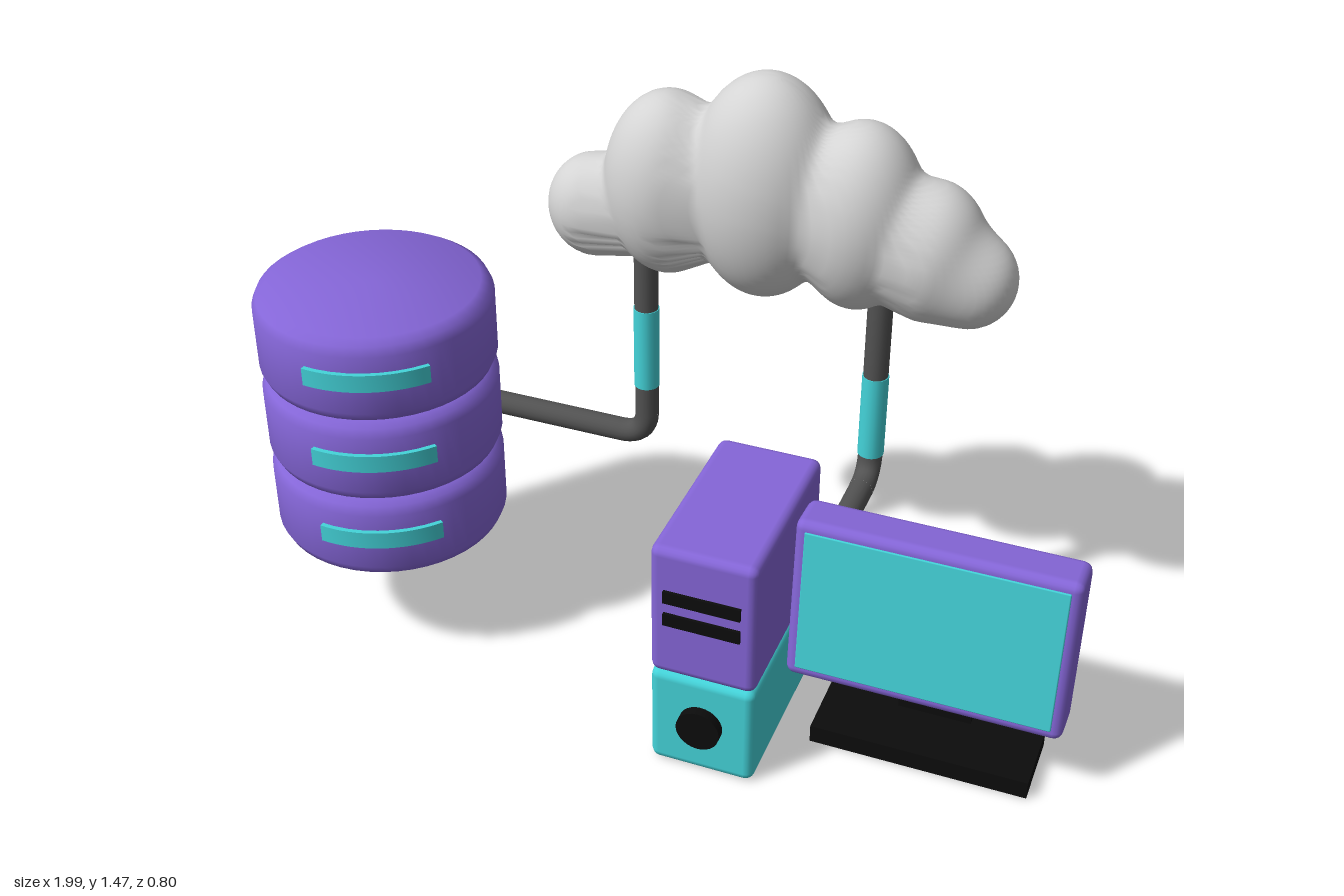
import * as THREE from 'three';
import { mergeVertices, toCreasedNormals } from 'three/addons/utils/BufferGeometryUtils.js';
import { RoundedBoxGeometry } from 'three/addons/geometries/RoundedBoxGeometry.js';

function material(name, color, side = THREE.FrontSide) {
  const m = new THREE.MeshStandardMaterial({ color, side });
  m.name = name;
  return m;
}

// Smooth union of vertical ellipsoid puffs: [x, y, rx, ry, rz]
const PUFFS = [
  [-0.28, 1.075, 0.115, 0.125, 0.105],
  [-0.1, 1.165, 0.15, 0.222, 0.145],
  [0.13, 1.198, 0.175, 0.268, 0.163],
  [0.35, 1.165, 0.145, 0.222, 0.15],
  [0.51, 1.11, 0.13, 0.165, 0.13],
  [0.6, 1.06, 0.112, 0.115, 0.1],
];

function cloudDistance(p) {
  let d = 10;
  for (const [x, y, rx, ry, rz] of PUFFS) {
    const a = p.x - x, b = p.y - y, c = p.z;
    const k0 = Math.hypot(a / rx, b / ry, c / rz);
    const k1 = Math.hypot(a / (rx * rx), b / (ry * ry), c / (rz * rz)) + 1e-6;
    const e = k0 * (k0 - 1) / k1;
    const h = Math.max(0.035 - Math.abs(d - e), 0) / 0.035;
    d = Math.min(d, e) - h * h * 0.035 / 4;
  }
  return d;
}

// Shrink a large ellipsoid onto the puffs
function cloudGeometry() {
  let g = new THREE.SphereGeometry(1, 112, 64);
  g.deleteAttribute('uv');
  g.deleteAttribute('normal');
  g = mergeVertices(g, 1e-5);
  const pos = g.attributes.position;
  const centre = new THREE.Vector3(0.155, 1.12, 0);
  const dir = new THREE.Vector3(), p = new THREE.Vector3();
  for (let i = 0; i < pos.count; i++) {
    dir.fromBufferAttribute(pos, i).multiply(new THREE.Vector3(0.56, 0.3, 0.17)).normalize();
    let t = 0.8;
    for (let s = 0; s < 120; s++) {
      const d = cloudDistance(p.copy(centre).addScaledVector(dir, t));
      if (d < 0.0004) break;
      t -= d * 0.6;
    }
    pos.setXYZ(i, p.x, p.y, p.z);
  }
  g.computeVertexNormals();
  return g;
}

export function createModel() {
  const root = new THREE.Group();
  const purple = material('purple', 0x8566d8);
  const cyan = material('cyan', 0x44d4da, THREE.DoubleSide);
  const white = material('cloudGrey', 0xd4d4d4);
  const grey = material('pipeGrey', 0x525252);
  const black = material('black', 0x0c0c0c);

  function add(name, geometry, mat, x = 0, y = 0, z = 0, parent = root) {
    const mesh = new THREE.Mesh(geometry, mat);
    mesh.name = name;
    mesh.position.set(x, y, z);
    parent.add(mesh);
    return mesh;
  }
  const box = (w, h, d) => new THREE.BoxGeometry(w, h, d);
  const v2 = (x, y) => new THREE.Vector2(x, y);
  const v3 = (x, y, z) => new THREE.Vector3(x, y, z);

  // Cloud
  add('cloud', cloudGeometry(), white, 0, 0, -0.235);

  // Storage drum: three bevelled tiers, each with a curved light strip
  const drum = new THREE.Group();
  drum.name = 'storageDrum';
  drum.position.set(-0.72, 0.28, 0.063);
  root.add(drum);
  const H = 0.218;
  const tier = toCreasedNormals(new THREE.LatheGeometry([
    v2(0, 0), v2(0.25, 0), v2(0.27, 0.013), v2(0.28, 0.035),
    v2(0.28, H - 0.035), v2(0.27, H - 0.013), v2(0.25, H), v2(0, H),
  ], 48), 0.6);
  const strip = toCreasedNormals(new THREE.LatheGeometry([
    v2(0.27, -0.022), v2(0.291, -0.022), v2(0.291, 0.022), v2(0.27, 0.022), v2(0.27, -0.022),
  ], 16, -0.1, 1.03), 0.6);
  for (let i = 0; i < 3; i++) {
    add('drumTier', tier, purple, 0, i * H, 0, drum);
    add('drumLight', strip, cyan, 0, i * H + 0.122, 0, drum);
  }

  // Pipes: straight drop, rounded elbow, straight run, cyan sleeve
  function pipe(name, top, corner, end, sleeveY) {
    const r = 0.07;
    const a = corner.clone().add(v3(0, r, 0));
    const b = corner.clone().add(end.clone().sub(corner).setLength(r));
    const bend = new THREE.QuadraticBezierCurve3(a, corner, b);
    const group = new THREE.Group();
    group.name = name;
    root.add(group);
    [[new THREE.LineCurve3(top, a), 1], [bend, 10], [new THREE.LineCurve3(b, end), 1]].forEach(
      ([curve, n]) => add('pipeSection', new THREE.TubeGeometry(curve, n, 0.029, 18), grey, 0, 0, 0, group));
    add('pipeEnd', new THREE.SphereGeometry(0.029, 18, 12), grey, end.x, end.y, end.z, group);
    add('pipeSleeve', new THREE.CylinderGeometry(0.031, 0.031, 0.215, 18), cyan, top.x, sleeveY, top.z, group);
  }
  pipe('drumPipe', v3(-0.152, 1.05, -0.218), v3(-0.152, 0.468, -0.218), v3(-0.73, 0.468, -0.218), 0.725);
  pipe('monitorPipe', v3(0.415, 1.05, -0.215), v3(0.415, 0.5, -0.215), v3(0.415, 0.5, 0.06), 0.67);

  // Computer tower
  const tower = new THREE.Group();
  tower.name = 'tower';
  tower.position.set(0.215, 0, 0.147);
  root.add(tower);
  add('towerTop', new RoundedBoxGeometry(0.25, 0.35, 0.455, 2, 0.022), purple, 0, 0.44, 0, tower);
  add('towerBase', new RoundedBoxGeometry(0.25, 0.267, 0.455, 2, 0.022), cyan, 0, 0.1335, 0, tower);
  for (const y of [0.428, 0.49]) add('driveSlot', box(0.18, 0.032, 0.014), black, 0, y, 0.228, tower);
  const button = new THREE.CylinderGeometry(0.052, 0.052, 0.03, 28).rotateX(Math.PI / 2);
  add('powerButton', button, black, 0, 0.14, 0.236, tower);

  // Monitor, leaning back slightly
  const monitor = new THREE.Group();
  monitor.name = 'monitor';
  monitor.position.set(0.668, 0.379, 0.102);
  monitor.rotation.x = -0.08;
  root.add(monitor);
  add('monitorCase', new RoundedBoxGeometry(0.645, 0.42, 0.117, 2, 0.022), purple, 0, 0, 0, monitor);
  add('screen', new RoundedBoxGeometry(0.595, 0.368, 0.008, 1, 0.003), cyan, 0, 0.002, 0.0585, monitor);

  // Monitor stand: flat foot and a post with a rounded upper back edge
  add('standFoot', box(0.515, 0.046, 0.185), black, 0.677, 0.023, 0.097);
  const post = new THREE.Shape();
  post.moveTo(0.006, 0.02);
  post.lineTo(0.046, 0.02);
  post.lineTo(0.046, 0.25);
  post.lineTo(0.075, 0.3);
  post.lineTo(0.07, 0.385);
  post.lineTo(0.04, 0.385);
  post.quadraticCurveTo(0.006, 0.375, 0.006, 0.325);
  post.closePath();
  const postGeometry = new THREE.ExtrudeGeometry(post, { depth: 0.175, bevelEnabled: false, curveSegments: 8 });
  postGeometry.rotateY(-Math.PI / 2);
  add('standPost', postGeometry, black, 0.766, 0, 0);

  return root;
}
